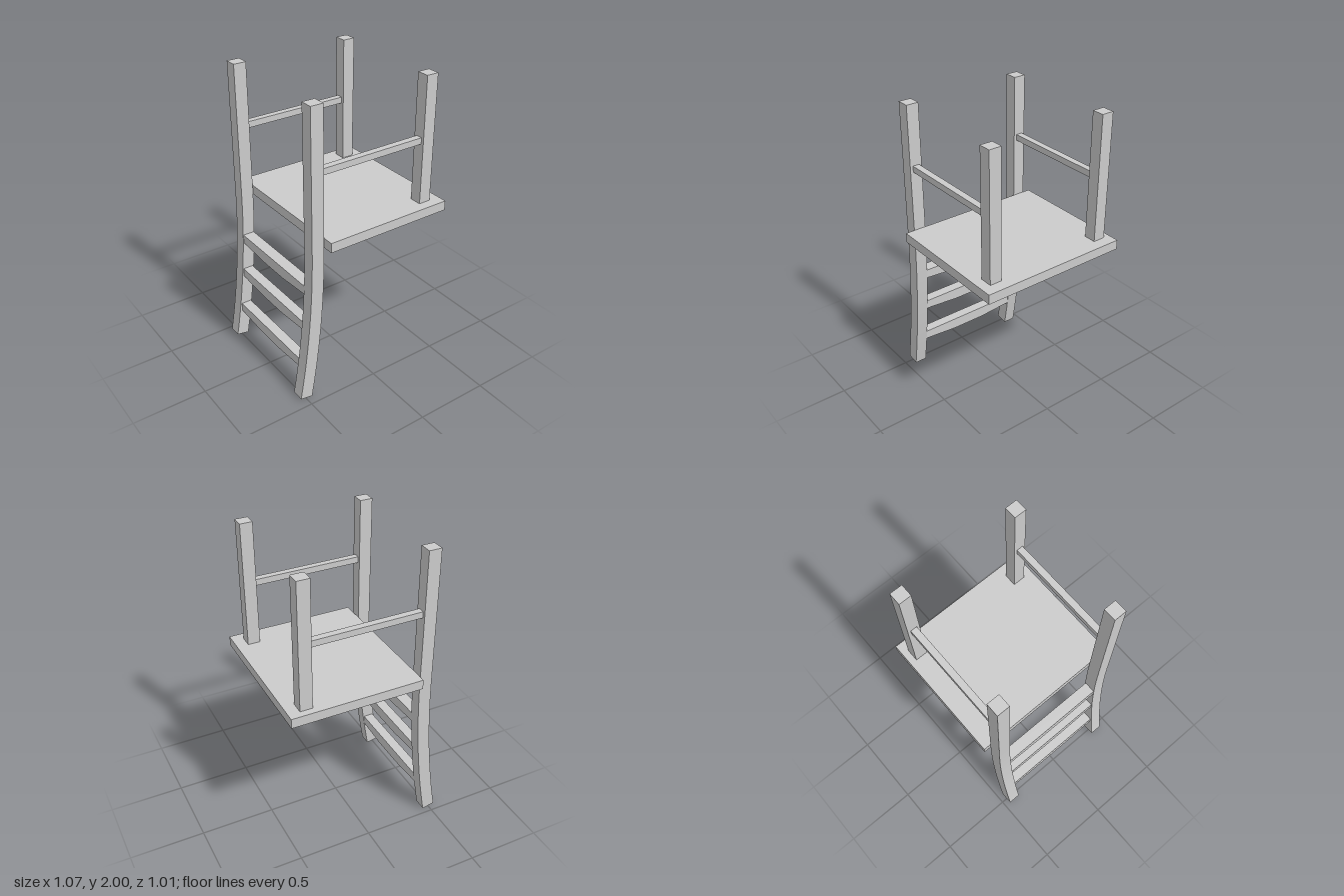
import * as THREE from 'three';

const material = new THREE.MeshStandardMaterial({ color: 0xcccccc, flatShading: true });
const FRAME_Z = -0.01; // middle of the leg frame
const SIDE = 0.408; // leg distance from that middle
const LEG = 0.083; // leg thickness

function add(group, name, geometry, x = 0, y = 0, z = 0) {
  const mesh = new THREE.Mesh(geometry, material);
  mesh.name = name;
  mesh.position.set(x, y, z);
  group.add(mesh);
}

// Back post: straight above, sweeping backwards towards the ground
function backPostGeometry() {
  const inner = [], outer = [];
  const steps = 12, bend = 1.1;
  for (let i = 0; i <= steps; i++) {
    const t = bend * (1 - i / steps);
    const drop = 0.0826 * (bend - t) ** 2;
    const slope = 0.165 * (bend - t);
    inner.push(new THREE.Vector2(-0.355 - drop, t));
    outer.push(new THREE.Vector2(-0.44 - drop, t + 0.085 * slope));
  }
  const shape = new THREE.Shape([
    new THREE.Vector2(-0.44, 2), ...outer, ...inner.reverse(), new THREE.Vector2(-0.355, 2),
  ]);
  const geometry = new THREE.ExtrudeGeometry(shape, { depth: LEG, bevelEnabled: false });
  return geometry.translate(0, 0, -LEG / 2);
}

// Back slat: flat upper edge and a shallow bowed lower edge
function slatGeometry(depth) {
  const half = SIDE - LEG / 2 + 0.002;
  const shape = new THREE.Shape();
  shape.moveTo(-half, 0.06);
  for (const [u, y] of [[-1, 0], [-0.67, -0.009], [-0.33, -0.019], [0.33, -0.019], [0.67, -0.009], [1, 0]]) {
    shape.lineTo(u * half, y);
  }
  shape.lineTo(half, 0.06);
  const geometry = new THREE.ExtrudeGeometry(shape, { depth, bevelEnabled: false });
  return geometry.translate(0, 0, -depth / 2).rotateY(-Math.PI / 2);
}

export function createModel() {
  const chair = new THREE.Group();
  chair.name = 'upturnedChair';

  add(chair, 'seat', new THREE.BoxGeometry(0.885, 0.065, 1.01), 0.0925, 1.1225, 0);

  // Legs and stretchers on both sides
  for (const [side, s] of [['left', 1], ['right', -1]]) {
    const z = FRAME_Z + s * SIDE;
    add(chair, side + 'BackPost', backPostGeometry(), 0, 0, z);
    add(chair, side + 'FrontLeg', new THREE.BoxGeometry(LEG, 0.845, LEG), 0.418, 1.5775, z);
    add(chair, side + 'Stretcher', new THREE.BoxGeometry(0.735, 0.042, 0.044), 0.01, 1.58, z);
  }

  // Slats follow the sweep of the posts
  for (const [x0, x1, y] of [[-0.445, -0.366, 0.75], [-0.46, -0.39, 0.485], [-0.49, -0.42, 0.205]]) {
    add(chair, 'backSlat', slatGeometry(x1 - x0), (x0 + x1) / 2, y, FRAME_Z);
  }
  return chair;
}
